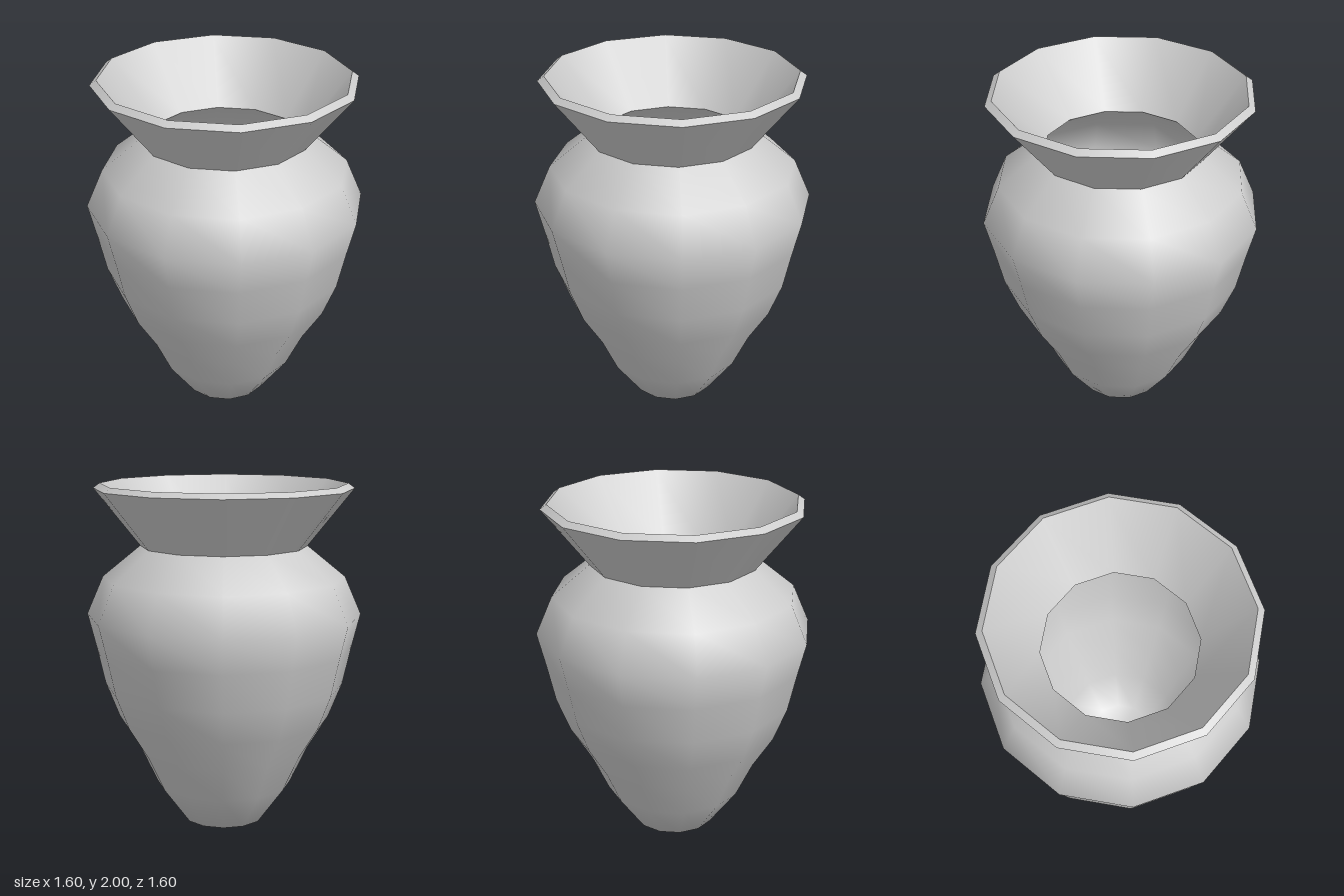
import * as THREE from 'three';

const SIDES = 12;

export function createModel() {
  const vase = new THREE.Group();
  vase.name = 'vase';
  const material = new THREE.MeshStandardMaterial({ color: 0xcccccc });

  // Each smooth band is its own lathe, so the edges between bands stay sharp.
  function addBand(name, profile) {
    const points = profile.map(([r, y]) => new THREE.Vector2(r, y));
    const mesh = new THREE.Mesh(new THREE.LatheGeometry(points, SIDES), material);
    mesh.name = name;
    vase.add(mesh);
  }

  // Outside, running upwards
  addBand('body', [
    [0, 0], [0.235, 0], [0.4, 0.22], [0.5, 0.43], [0.62, 0.62], [0.7, 0.82],
    [0.75, 1.04], [0.8, 1.24], [0.705, 1.46], [0.485, 1.64],
  ]);
  addBand('flaredNeck', [[0.485, 1.64], [0.752, 1.972]]);
  addBand('rim', [[0.752, 1.972], [0.714, 2]]);

  // Inside, running downwards
  addBand('neckLining', [[0.714, 2], [0.438, 1.64]]);
  addBand('bodyLining', [
    [0.438, 1.64], [0.67, 1.44], [0.75, 1.235], [0.703, 1.05], [0.655, 0.84],
    [0.578, 0.645], [0.458, 0.453], [0.36, 0.245], [0.21, 0.048], [0, 0.048],
  ]);

  return vase;
}
